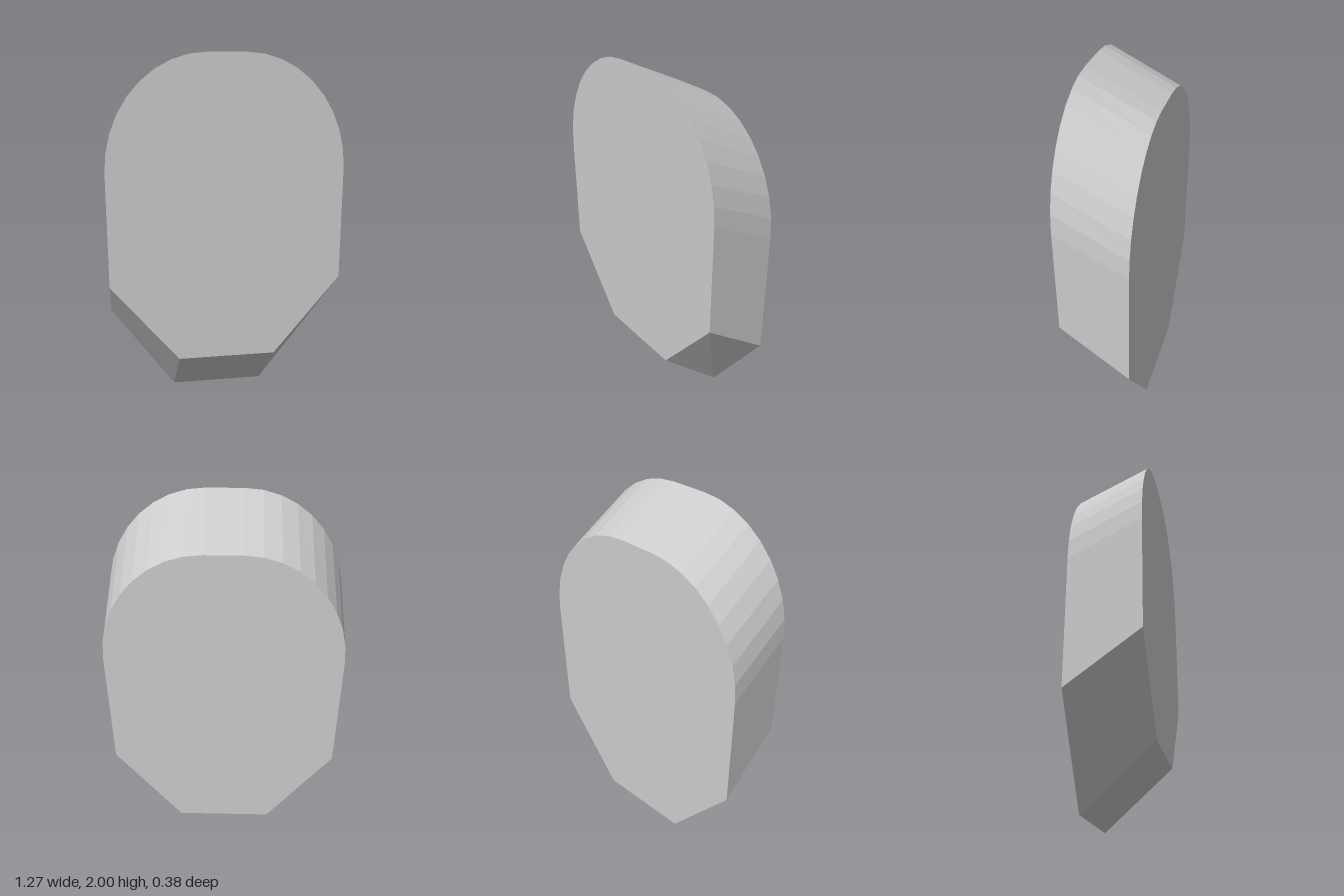
import * as THREE from 'three';

const ARC_STEPS = 9;

// Closed outline, counter-clockwise from the front: chamfered foot, straight sides, rounded top
function outline(z, foot, hip, shoulder, top) {
  const right = [[0.27, foot], [0.637, hip]];
  for (let i = 0; i <= ARC_STEPS; i++) {
    const a = (i / ARC_STEPS) * Math.PI / 2;
    right.push([0.1 + 0.537 * Math.cos(a), shoulder + (top - shoulder) * Math.sin(a)]);
  }
  const left = right.map(([x, y]) => [-x, y]).reverse();
  return [...right, ...left].map(([x, y]) => new THREE.Vector3(x, y, z));
}

export function createModel() {
  const front = outline(0.19, 0.34, 0.78, 1.39, 2);
  const back = outline(-0.19, 0, 0.505, 1.2, 1.82);
  const n = front.length;
  const points = [];

  // Slanted rim joining the two outlines, with mirrored diagonals
  for (let i = 0; i < n; i++) {
    const j = (i + 1) % n;
    if (i < n / 2) points.push(front[i], back[i], front[j], back[i], back[j], front[j]);
    else points.push(front[i], back[i], back[j], front[i], back[j], front[j]);
  }
  // Flat front and back faces
  for (let i = 1; i < n - 1; i++) {
    points.push(front[0], front[i], front[i + 1]);
    points.push(back[0], back[i + 1], back[i]);
  }

  const geometry = new THREE.BufferGeometry().setFromPoints(points);
  geometry.computeVertexNormals();
  const material = new THREE.MeshStandardMaterial({ color: 0xcccccc, flatShading: true });
  const slab = new THREE.Mesh(geometry, material);
  slab.name = 'roundedSlab';

  const group = new THREE.Group();
  group.name = 'slantedSlab';
  group.add(slab);
  return group;
}
